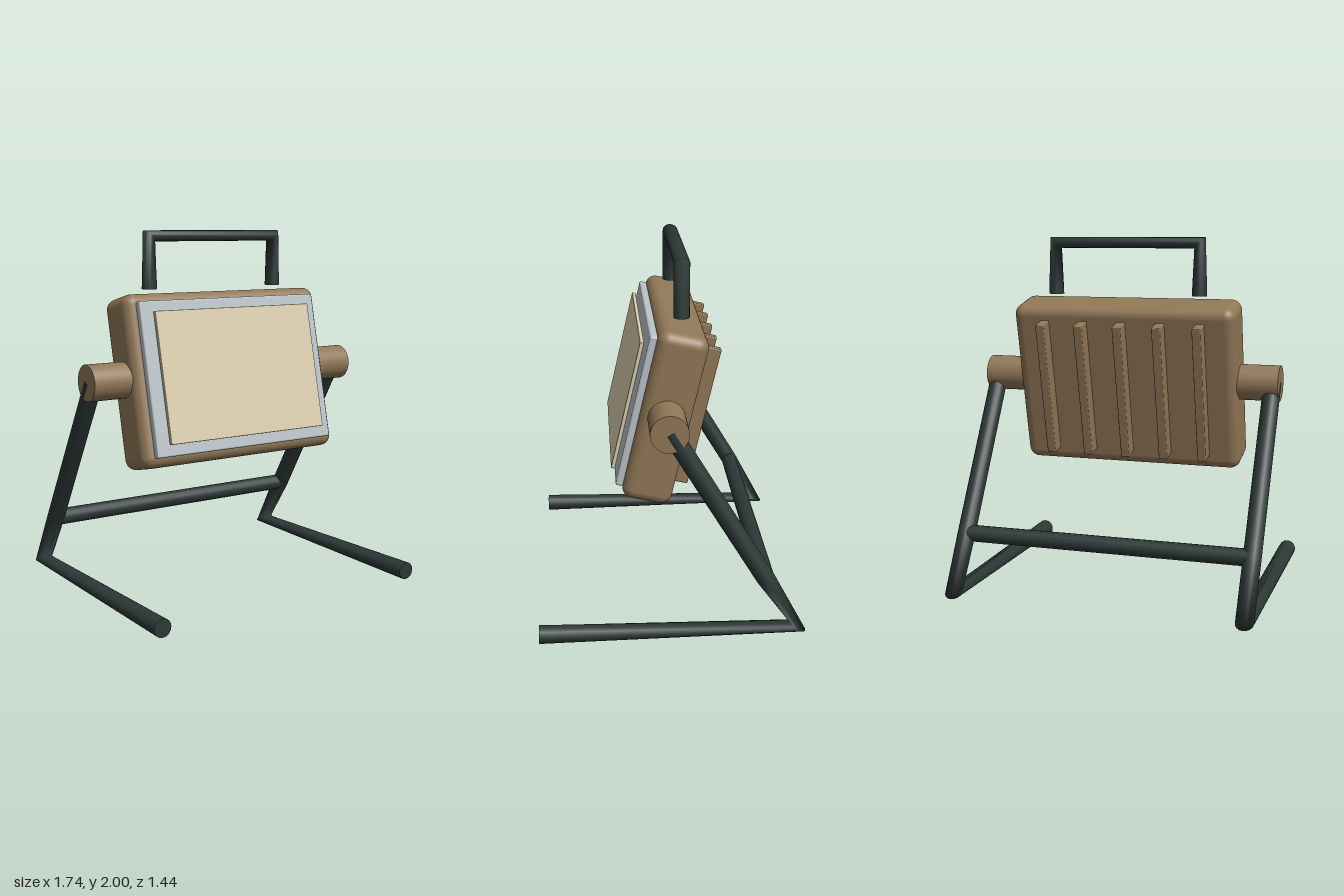
import * as THREE from 'three';
import { RoundedBoxGeometry } from 'three/addons/geometries/RoundedBoxGeometry.js';

const material = (name, color) => {
  const m = new THREE.MeshStandardMaterial({ color });
  m.name = name;
  return m;
};

// Capped round bar through corner points lying in one plane; each corner has a mitred ring.
function bentBar(points, radius, planeNormal) {
  const pts = points.map((p) => new THREE.Vector3(...p));
  const last = pts.length - 1;
  const dirs = pts.slice(1).map((p, i) => p.clone().sub(pts[i]).normalize());
  const sides = pts.map((_, i) => {
    const tangent = dirs[Math.max(i - 1, 0)].clone().add(dirs[Math.min(i, last - 1)]).normalize();
    return tangent.cross(planeNormal);
  });
  const geo = new THREE.CylinderGeometry(radius, radius, 1, 16, last);
  const pos = geo.attributes.position;
  for (let i = 0; i < pos.count; i++) {
    const row = Math.round((0.5 - pos.getY(i)) * last);
    const v = pts[row].clone()
      .addScaledVector(planeNormal, pos.getX(i))
      .addScaledVector(sides[row], pos.getZ(i));
    pos.setXYZ(i, v.x, v.y, v.z);
  }
  geo.computeVertexNormals();
  return geo;
}

export function createModel() {
  const model = new THREE.Group();
  model.name = 'floodlight';

  const brown = material('housing brown', 0x917757);
  const silver = material('frame silver', 0xb9c1c6);
  const cream = material('panel cream', 0xd8ccac);
  const dark = material('bar dark green', 0x2c3836);

  const add = (parent, name, geometry, mat, x = 0, y = 0, z = 0) => {
    const mesh = new THREE.Mesh(geometry, mat);
    mesh.name = name;
    mesh.position.set(x, y, z);
    parent.add(mesh);
    return mesh;
  };

  // Lamp head, leaning back
  const head = new THREE.Group();
  head.name = 'lampHead';
  head.position.set(0, 1.18, 0.032);
  head.rotation.x = -0.227;
  model.add(head);

  add(head, 'housing', new RoundedBoxGeometry(1.285, 0.947, 0.27, 4, 0.06), brown);
  add(head, 'frontFrame', new RoundedBoxGeometry(1.17, 0.845, 0.07, 2, 0.01), silver, 0, 0, 0.138);
  add(head, 'lightPanel', new RoundedBoxGeometry(1.03, 0.72, 0.022, 2, 0.004), cream, 0, 0, 0.198);

  // Cooling fins on the back
  for (let i = -2; i <= 2; i++) {
    add(head, 'coolingFin', new RoundedBoxGeometry(0.05, 0.78, 0.12, 2, 0.006), brown, i * 0.225, 0.005, -0.164);
  }

  // Pivots and bent legs on both sides
  for (const side of [1, -1]) {
    const label = side > 0 ? 'left' : 'right';
    const pivot = add(model, label + 'Pivot', new THREE.CylinderGeometry(0.1, 0.1, 0.265, 28), brown, side * 0.7325, 1.2, 0.025);
    pivot.rotation.z = Math.PI / 2;

    const leg = [[0, 1.2, 0.02], [0, 0.345, -0.493], [0, 0.05, -0.675], [0, 0.05, 0.72]];
    add(model, label + 'Leg', bentBar(leg, 0.05, new THREE.Vector3(1, 0, 0)), dark, side * 0.82);
  }

  // Bar between the legs
  const crossbar = add(model, 'crossbar', new THREE.CylinderGeometry(0.047, 0.047, 1.64, 16), dark, 0, 0.345, -0.493);
  crossbar.rotation.z = Math.PI / 2;

  // Carrying handle
  const handle = [[-0.42, 1.68, 0], [-0.42, 1.97, 0], [0.42, 1.97, 0], [0.42, 1.68, 0]];
  add(model, 'handle', bentBar(handle, 0.043, new THREE.Vector3(0, 0, 1)), dark, 0, 0, -0.067);

  return model;
}
